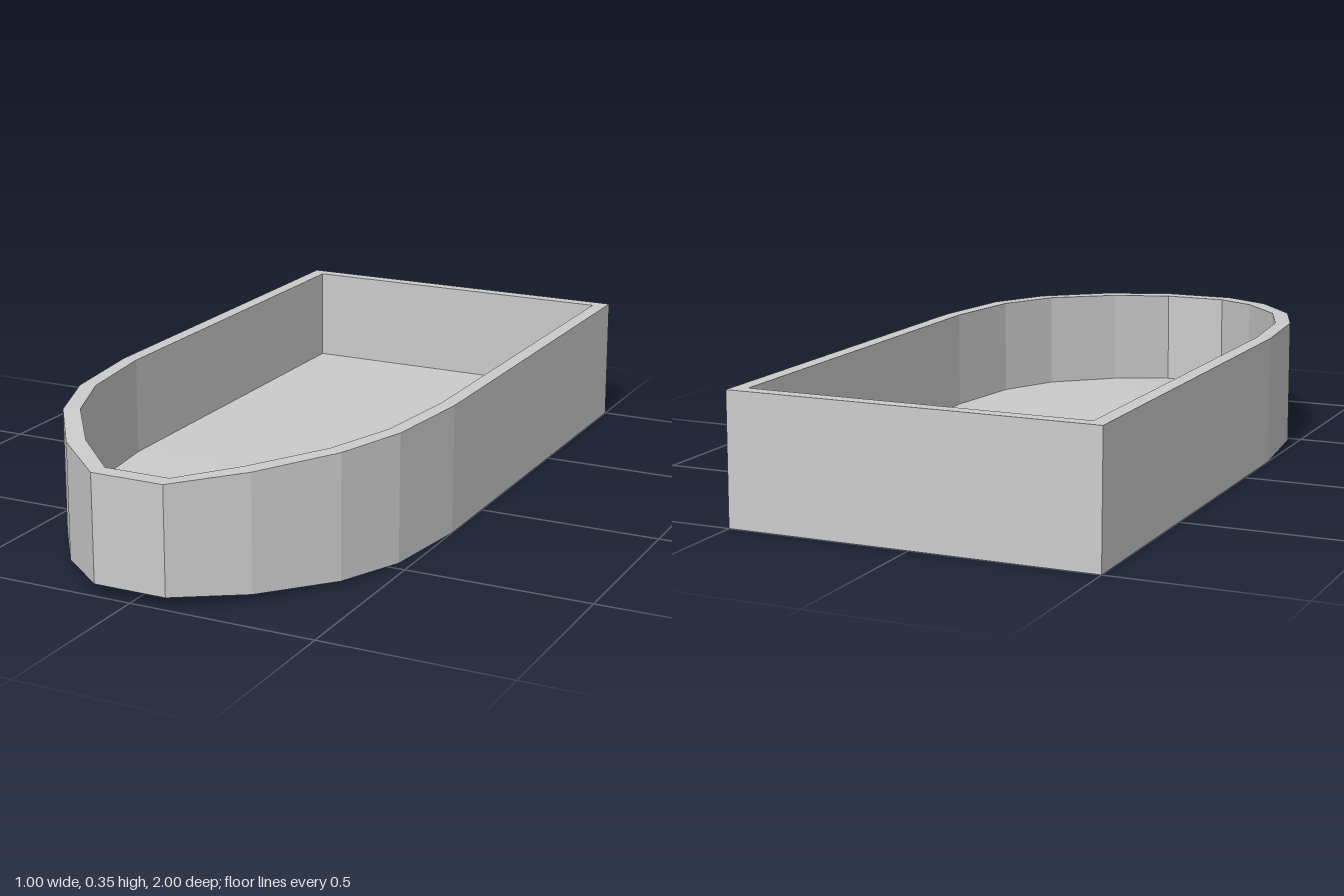
import * as THREE from 'three';

// half outlines [x, z] from the stern corner to the blunt bow
const OUTER = [[0.5, -1], [0.5, 0.2], [0.47, 0.47], [0.4, 0.66], [0.26, 0.86], [0.1, 1]];
const INNER = [[0.46, -0.955], [0.46, 0.2], [0.43, 0.455], [0.36, 0.64], [0.225, 0.825], [0.09, 0.952]];
const HEIGHT = 0.35, DEPTH = 0.267;

// the hull gets shallower as it narrows towards the bow
const taper = i => 0.08 * (0.5 - OUTER[i][0]);

// closed ring of points: left side stern to bow, then right side back again
function ring(half, yAt, sternShift = 0) {
  const left = half.map(([x, z], i) => [x, yAt(i), i === 0 ? z + sternShift : z]);
  const right = left.map(([x, y, z]) => [-x, y, z]).reverse();
  return [...left, ...right];
}

// quads joining two rings
function band(a, b) {
  const out = [];
  a.forEach((p, j) => {
    const k = (j + 1) % a.length;
    out.push(...p, ...b[j], ...b[k], ...p, ...b[k], ...a[k]);
  });
  return out;
}

// cross strips filling a ring, facing up or down
function fill(r, up) {
  const out = [], n = r.length;
  for (let i = 0; i < n / 2 - 1; i++) {
    const [a, b, c, d] = [r[i], r[n - 1 - i], r[n - 2 - i], r[i + 1]];
    out.push(...(up ? [a, b, c, a, c, d] : [a, c, b, a, d, c]).flat());
  }
  return out;
}

function part(name, positions, material) {
  const g = new THREE.BufferGeometry();
  g.setAttribute('position', new THREE.Float32BufferAttribute(positions, 3));
  g.computeVertexNormals();
  const mesh = new THREE.Mesh(g, material);
  mesh.name = name;
  return mesh;
}

export function createModel() {
  const group = new THREE.Group();
  group.name = 'boatHull';
  const grey = new THREE.MeshStandardMaterial({ color: 0xcccccc, flatShading: true });

  const keel = ring(OUTER, taper);
  const gunwale = ring(OUTER, i => HEIGHT - taper(i), 0.007);
  const lip = ring(INNER, i => HEIGHT - taper(i));
  const deck = ring(INNER, i => HEIGHT - taper(i) - DEPTH);

  group.add(
    part('hullSides', band(keel, gunwale), grey),
    part('hullBottom', fill(keel, false), grey),
    part('rim', band(gunwale, lip), grey),
    part('innerWalls', band(lip, deck), grey),
    part('floor', fill(deck, true), grey)
  );
  return group;
}
